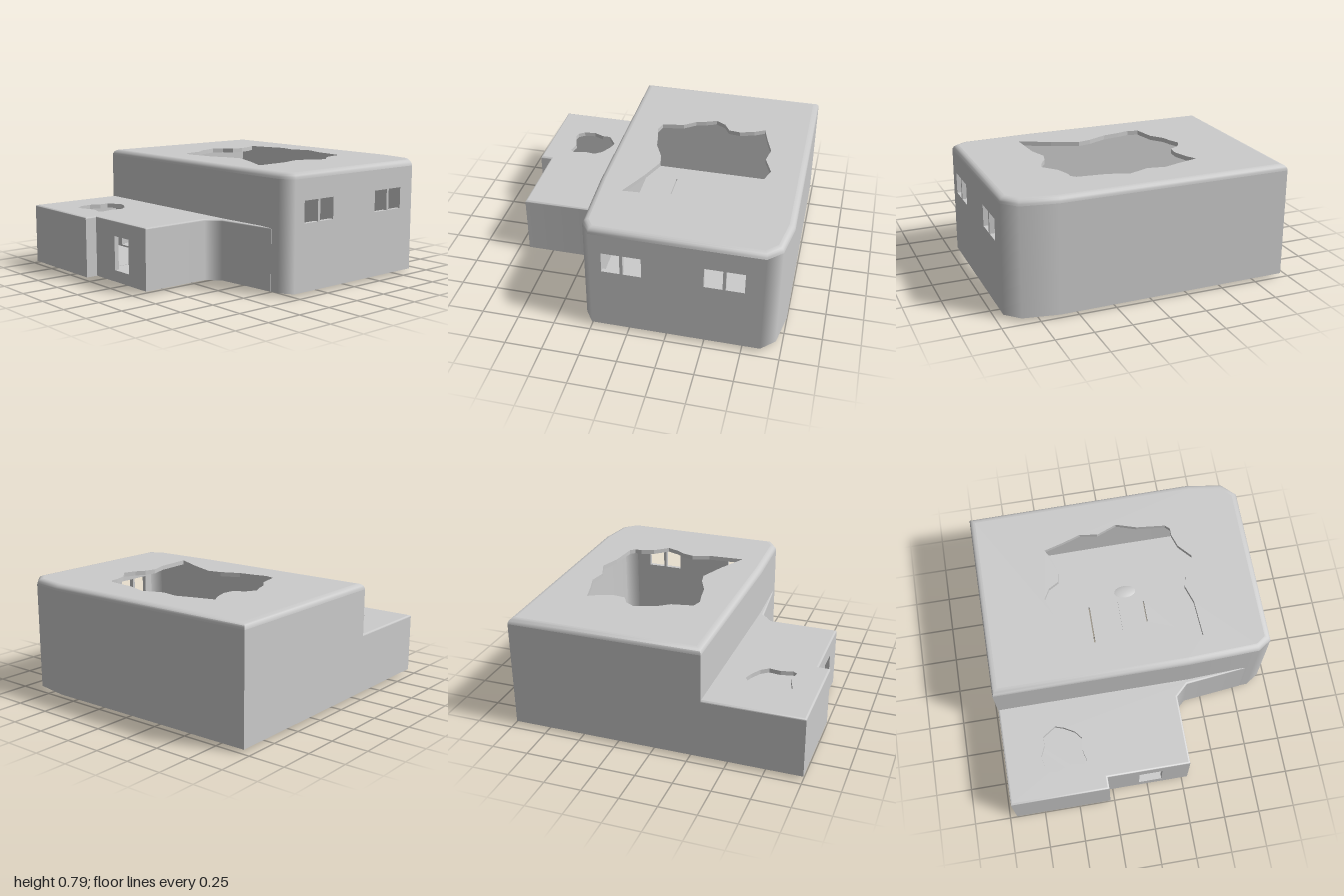
import * as THREE from 'three';
import { toCreasedNormals } from 'three/addons/utils/BufferGeometryUtils.js';

const BASE = 0.022, T = 0.03;
const grey = new THREE.MeshStandardMaterial({ color: 0xcccccc, side: THREE.DoubleSide });

// Plan outlines as [x, z], walking left side, front, right side, back
const mainPlan = [[-0.33, -0.95], [-0.33, 0.38], [-0.31, 0.86], [-0.25, 0.95],
  [0.87, 0.95], [0.96, 0.86], [1, 0.62], [0.985, -0.95]];
const annexPlan = [[-1, -0.95], [-1, -0.28], [-0.92, -0.28], [-0.92, 0.29], [-0.44, 0.29],
  [-0.36, 0.375], [-0.315, 0.8], [-0.3, 0.8], [-0.3, -0.95]];

// Ragged roof openings
const mainHole = [[-0.08, -0.37], [-0.03, -0.38], [0.07, -0.4], [0.15, -0.46], [0.22, -0.48], [0.29, -0.51],
  [0.36, -0.47], [0.4, -0.4], [0.48, -0.39], [0.58, -0.42], [0.65, -0.46], [0.69, -0.32], [0.73, -0.2],
  [0.71, -0.08], [0.765, 0.06], [0.72, 0.2], [0.7, 0.4], [0.67, 0.43], [0.62, 0.43], [0.53, 0.46],
  [0.44, 0.54], [0.36, 0.51], [0.3, 0.47], [0.22, 0.45], [0.1, 0.49], [-0.15, 0.505], [-0.05, 0.3],
  [0.02, 0.12], [0, 0.03], [-0.06, -0.1], [-0.08, -0.22], [-0.1, -0.3]];
const annexHole = [[-0.82, -0.66], [-0.78, -0.69], [-0.7, -0.7], [-0.63, -0.67], [-0.57, -0.67],
  [-0.51, -0.58], [-0.53, -0.52], [-0.57, -0.45], [-0.62, -0.41], [-0.7, -0.42], [-0.78, -0.4],
  [-0.81, -0.42], [-0.79, -0.5], [-0.83, -0.62]];

const rect = (a, b, c, d) => [[a, c], [b, c], [b, d], [a, d]];

function mesh(name, geometry, parent) {
  const m = new THREE.Mesh(geometry, grey);
  m.name = name;
  parent.add(m);
  return m;
}

// Horizontal plate from a plan outline, with holes
function plate(outline, holes, y0, y1) {
  const pts = (list) => list.map(([x, z]) => new THREE.Vector2(x, -z));
  const shape = new THREE.Shape(pts(outline));
  for (const h of holes) shape.holes.push(new THREE.Path(pts(h)));
  return new THREE.ExtrudeGeometry(shape, { depth: y1 - y0, bevelEnabled: false })
    .rotateX(-Math.PI / 2).translate(0, y0, 0);
}

// Outline edge i: start, length, direction and outward normal
function edge(plan, i) {
  const n = plan.length, p = plan[(i + n) % n], q = plan[(i + 1) % n];
  const dx = q[0] - p[0], dz = q[1] - p[1], len = Math.hypot(dx, dz);
  return { p, len, dir: [dx / len, dz / len], out: [-dz / len, dx / len] };
}

// Normal at the corner between two edges, led by the longer one; sharp corners stay sharp
function cornerNormal(own, other) {
  if (own.out[0] * other.out[0] + own.out[1] * other.out[1] < 0.5) return own.out;
  const a = own.len ** 2, b = other.len ** 2;
  const v = [own.out[0] * a + other.out[0] * b, own.out[1] * a + other.out[1] * b], l = Math.hypot(...v);
  return [v[0] / l, v[1] / l];
}

// Wall panel on edge i, thickened inwards; openings are [u0, u1, y0, y1]
function wall(plan, i, top, openings, parent) {
  const e = edge(plan, i), pts = (list) => list.map(([u, y]) => new THREE.Vector2(u, y));
  const shape = new THREE.Shape(pts(rect(0, e.len, BASE, top)));
  for (const o of openings) shape.holes.push(new THREE.Path(pts(rect(...o))));
  const g = new THREE.ExtrudeGeometry(shape, { depth: T, bevelEnabled: false }).translate(0, 0, -T);
  if (!openings.length) {
    const ends = [cornerNormal(e, edge(plan, i - 1)), cornerNormal(e, edge(plan, i + 1))];
    const pos = g.attributes.position, nor = g.attributes.normal;
    for (let k = 0; k < pos.count; k++) {
      if (Math.abs(nor.getZ(k)) < 0.9) continue;
      const [nx, nz] = ends[pos.getX(k) > e.len / 2 ? 1 : 0], s = Math.sign(nor.getZ(k));
      nor.setXYZ(k, s * (nx * e.dir[0] + nz * e.dir[1]), 0, s * (nx * e.out[0] + nz * e.out[1]));
    }
  }
  const m = mesh('wall', g, parent);
  m.position.set(e.p[0], 0, e.p[1]);
  m.rotation.y = Math.atan2(-e.dir[1], e.dir[0]);
}

// Mitred inset of a plan outline
function inset(plan, d) {
  return plan.map((p, i) => {
    const a = edge(plan, i - 1).out, b = edge(plan, i).out;
    const k = d / (1 + a[0] * b[0] + a[1] * b[1]);
    return [p[0] - (a[0] + b[0]) * k, p[1] - (a[1] + b[1]) * k];
  });
}

// Rounded roof rim lofted through inset outlines
function rim(plan, top, r) {
  const steps = 5, n = plan.length, pos = [], index = [];
  for (let s = 0; s <= steps; s++) {
    const a = (s / steps) * Math.PI / 2;
    for (const [x, z] of inset(plan, r * (1 - Math.cos(a)))) pos.push(x, top - r + r * Math.sin(a), z);
  }
  for (let s = 0; s < steps; s++) {
    for (let i = 0; i < n; i++) {
      const j = (i + 1) % n, a = s * n + i, b = s * n + j;
      index.push(a, b, b + n, a, b + n, a + n);
    }
  }
  const g = new THREE.BufferGeometry();
  g.setAttribute('position', new THREE.Float32BufferAttribute(pos, 3));
  g.setIndex(index);
  return toCreasedNormals(g, 1.05);
}

// One block: walls, roof rim and roof plate with its ragged opening
function block(name, plan, skip, top, r, hole, openings, parent) {
  const group = new THREE.Group();
  group.name = name;
  plan.forEach((p, i) => {
    if (!skip.includes(i)) wall(plan, i, top - r, openings[i] || [], group);
  });
  mesh('roofRim', rim(plan, top, r), group);
  mesh('roof', plate(inset(plan, r), [hole], top - T, top), group);
  parent.add(group);
}

export function createModel() {
  const model = new THREE.Group();
  model.name = 'ruinedHouse';

  // Main block: four front windows and a doorway into the annex
  const windows = [[-0.17, -0.05], [-0.03, 0.09], [0.49, 0.61], [0.63, 0.75]]
    .map(([a, b]) => [a + 0.25, b + 0.25, 0.465, 0.61]);
  block('mainBlock', mainPlan, [], 0.79, 0.04, mainHole,
    { 0: [[0.1, 0.25, 0.07, 0.33]], 3: windows }, model);

  // Low annex: side door, open where it meets the main block
  block('annex', annexPlan, [6, 7], 0.435, 0.012, annexHole, { 2: [[0.22, 0.38, 0.1, 0.33]] }, model);

  // Cracked floors, set a little above the foot of the walls
  mesh('mainFloor', plate([[-0.31, -0.94], [0.965, -0.94], [0.965, 0.75], [-0.3, 0.82]], [
    rect(0.1, 0.48, -0.205, -0.195), rect(-0.06, -0.052, -0.76, -0.22), rect(0, 0.46, 0.212, 0.22),
  ], 0.035, 0.06), model);
  mesh('annexFloor', plate([[-0.98, -0.94], [-0.98, -0.3], [-0.9, -0.3], [-0.9, 0.25], [-0.335, 0.25], [-0.335, -0.94]],
    [rect(-0.8, -0.38, -0.295, -0.287)], 0.035, 0.06), model);

  // Fallen slab on the floor and a small sag beneath it
  mesh('fallenSlab', new THREE.BoxGeometry(0.39, 0.03, 0.185).translate(0.295, 0.055, 0.115), model);
  mesh('floorSag', new THREE.SphereGeometry(1, 20, 10).scale(0.07, 0.035, 0.12).translate(0.56, 0.035, 0.09), model);
  return model;
}
